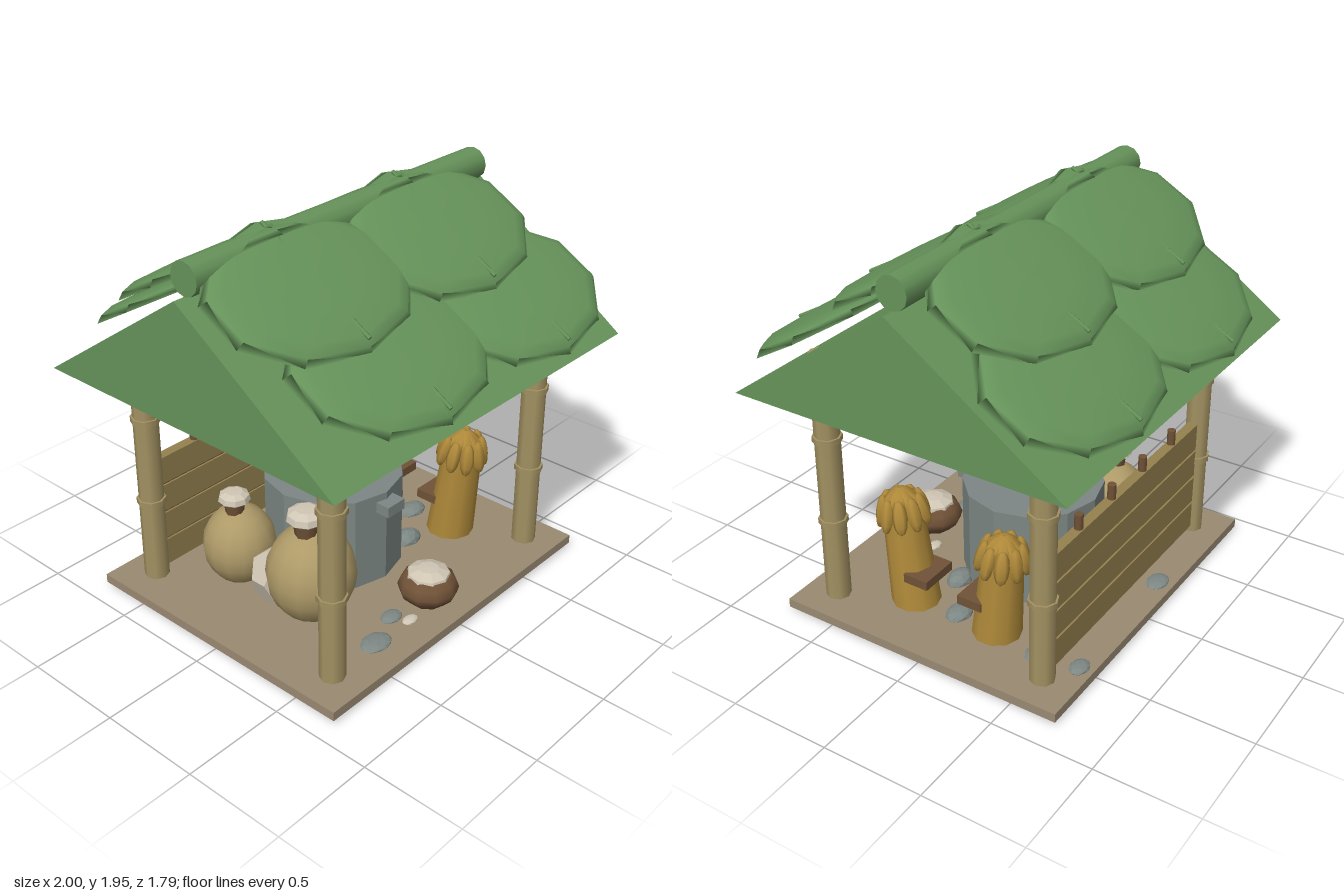
import * as THREE from 'three';

const paint = (name, color, flat = false) => {
  const m = new THREE.MeshStandardMaterial({ color, flatShading: flat });
  m.name = name;
  return m;
};

export function createModel() {
  const root = new THREE.Group();
  root.name = 'marketHut';
  const green = paint('leafGreen', 0x66935a);
  const bamboo = paint('bamboo', 0xa39262);
  const plank = paint('plankWood', 0x95814f);
  const floor = paint('floorWood', 0x9a8a72);
  const brown = paint('darkBrown', 0x705237);
  const grey = paint('stoneGrey', 0x7d8784, true);
  const tan = paint('sackTan', 0xae9a68);
  const pale = paint('paleGrain', 0xd0c6b4, true);
  const straw = paint('straw', 0xb08a3a);

  const add = (parent, name, geo, mat, x = 0, y = 0, z = 0) => {
    const mesh = new THREE.Mesh(geo, mat);
    mesh.name = name;
    mesh.position.set(x, y, z);
    parent.add(mesh);
    return mesh;
  };
  const group = (parent, name, x = 0, y = 0, z = 0) => {
    const g = new THREE.Group();
    g.name = name;
    g.position.set(x, y, z);
    parent.add(g);
    return g;
  };
  const box = (w, h, d) => new THREE.BoxGeometry(w, h, d);
  const cyl = (top, bottom, h, sides = 8) => new THREE.CylinderGeometry(top, bottom, h, sides);
  const lathe = (pts, sides) => new THREE.LatheGeometry(pts.map(p => new THREE.Vector2(...p)), sides);

  // Floor
  add(root, 'floor', box(1.77, 0.045, 1.48), floor, -0.015, 0.0425, 0);

  // Corner posts with bamboo joints
  for (const x of [-0.725, 0.7]) for (const z of [-0.57, 0.575]) {
    const post = group(root, 'post', x, 0, z);
    add(post, 'postShaft', cyl(0.06, 0.06, 1.3), bamboo, 0, 0.695, 0);
    for (const y of [0.485, 0.92]) add(post, 'postJoint', cyl(0.07, 0.07, 0.028), bamboo, 0, y, 0);
  }

  // Solid gable roof
  const gable = new THREE.Shape([[-0.84, 1.19], [0.84, 1.19], [0, 1.77]].map(p => new THREE.Vector2(...p)));
  const roofGeo = new THREE.ExtrudeGeometry(gable, { depth: 1.97, bevelEnabled: false });
  roofGeo.translate(0, 0, -0.985).rotateY(Math.PI / 2);
  add(root, 'roof', roofGeo, green, -0.015, 0, 0);
  const ridge = add(root, 'ridgePole', cyl(0.077, 0.077, 1.855, 12), green, -0.015, 1.845, 0);
  ridge.rotation.z = Math.PI / 2;

  // Overlapping leaf shingles, two rows on each slope
  const leafGeo = lathe([[0, 0.015], [0.6, 0.005], [1, -0.01], [0.94, 0.018], [0.82, 0.04], [0.45, 0.054], [0, 0.058]], 10);
  leafGeo.scale(0.545, 1, 0.385);
  const ribGeo = cyl(0.01, 0.01, 0.68, 6).rotateX(Math.PI / 2);
  for (const side of [1, -1]) {
    const slope = group(root, side > 0 ? 'frontShingles' : 'backShingles');
    if (side < 0) slope.rotation.y = Math.PI;
    for (const [x, y, z] of [[-0.48, 1.735, 0.245], [0.35, 1.735, 0.245], [-0.355, 1.485, 0.565], [0.48, 1.485, 0.565]]) {
      const leaf = group(slope, 'leafShingle', x * side, y, z);
      leaf.rotation.x = 0.52;
      add(leaf, 'leafBlade', leafGeo, green);
      add(leaf, 'leafRib', ribGeo, green, 0, 0.042, 0);
    }
  }

  // Back wall of four planks over a dark backing, with pegs on top
  const wall = group(root, 'backWall', -0.01, 0, -0.57);
  for (let i = 0; i < 4; i++) {
    add(wall, 'wallPlank', box(1.32, 0.138, 0.05), plank, 0, 0.169 + i * 0.151, 0);
    add(wall, 'wallPeg', cyl(0.021, 0.021, 0.08), brown, -0.43 + i * 0.285, 0.725, 0);
  }
  add(wall, 'wallBacking', box(1.3, 0.58, 0.03), brown, 0, 0.395, 0);
  add(root, 'hangingBoard', box(0.36, 0.25, 0.02), brown, 0.32, 0.375, -0.5);

  // Water tank
  const tank = group(root, 'tank', -0.015, 0, -0.065);
  add(tank, 'tankBody', cyl(0.34, 0.34, 0.48, 12), grey, 0, 0.305, 0);
  add(tank, 'tankOutlet', box(0.115, 0.055, 0.1), grey, 0, 0.48, 0.35);
  add(tank, 'tankFoot', new THREE.SphereGeometry(1, 12, 8).scale(0.24, 0.024, 0.24), grey, 0, 0.032, 0);

  // Tied sacks with pale tops
  const sack = (x, z, s) => {
    const g = group(root, 'sack', x, 0.06, z);
    g.scale.setScalar(s);
    add(g, 'sackBody', new THREE.SphereGeometry(1, 14, 10).scale(0.212, 0.24, 0.212), tan, 0, 0.235, 0);
    add(g, 'sackNeck', cyl(0.06, 0.05, 0.08), brown, -0.03, 0.48, 0);
    const top = [[0, 0.51], [0.06, 0.515], [0.092, 0.54], [0.085, 0.57], [0.05, 0.59], [0, 0.592]];
    add(g, 'sackTop', lathe(top, 9), pale, -0.03, 0, 0);
  };
  sack(-0.455, 0.2, 1);
  sack(-0.47, -0.25, 0.84);
  add(root, 'paleBlock', new THREE.DodecahedronGeometry(1).scale(0.11, 0.16, 0.11), pale, -0.5, 0.21, 0);

  // Bowl of grain
  const bowl = group(root, 'bowl', -0.015, 0.06, 0.535);
  add(bowl, 'bowlBody', lathe([[0, 0], [0.09, 0.005], [0.135, 0.05], [0.145, 0.085], [0.13, 0.125], [0.1, 0.15], [0, 0.15]], 10), brown);
  add(bowl, 'bowlGrain', lathe([[0.105, 0.14], [0.1, 0.16], [0.05, 0.18], [0, 0.183]], 9), pale);

  // Leaning straw bundles with drooping heads
  const headGeo = new THREE.SphereGeometry(1, 6, 6).scale(0.036, 0.085, 0.028);
  const bundle = (z, h, lean, tieZ) => {
    const g = group(root, 'strawBundle', 0.53, 0.012, z);
    g.rotation.x = lean;
    add(g, 'strawStalks', cyl(0.095, 0.12, h - 0.08, 10), straw, 0, (h - 0.08) / 2, 0);
    for (let i = 0; i < 9; i++) {
      const spoke = group(g, 'strawSpoke');
      spoke.rotation.y = i * Math.PI * 2 / 9;
      const outer = add(spoke, 'strawHead', headGeo, straw, 0, h - 0.09, 0.098);
      outer.rotation.x = -0.22;
      const inner = add(spoke, 'strawCrown', headGeo, straw, 0, h - 0.04, 0.055);
      inner.rotation.x = -0.75;
    }
    add(root, 'strawTie', box(0.2, 0.045, 0.13), brown, 0.54, 0.25, tieZ);
  };
  bundle(0.235, 0.63, 0.12, 0.16);
  bundle(-0.215, 0.575, -0.08, -0.14);

  // Scattered stones: x, z, radius, height
  const stones = [[-0.43, 0.57, 0.085, 0.02], [-0.24, 0.5, 0.06, 0.02], [0.3, 0.15, 0.08, 0.05], [0.52, 0, 0.08, 0.035],
    [0.57, -0.46, 0.07, 0.02], [0.55, -0.67, 0.06, 0.02], [-0.2, -0.66, 0.07, 0.02]];
  for (const [x, z, r, h] of stones) {
    add(root, 'stone', new THREE.IcosahedronGeometry(1, 1).scale(r, h, r * 0.75), grey, x, 0.067, z);
  }
  for (const [x, z] of [[0.14, 0.42], [-0.2, 0.58]]) {
    add(root, 'palePebble', new THREE.IcosahedronGeometry(1, 1).scale(0.045, 0.015, 0.03), pale, x, 0.068, z);
  }
  return root;
}
